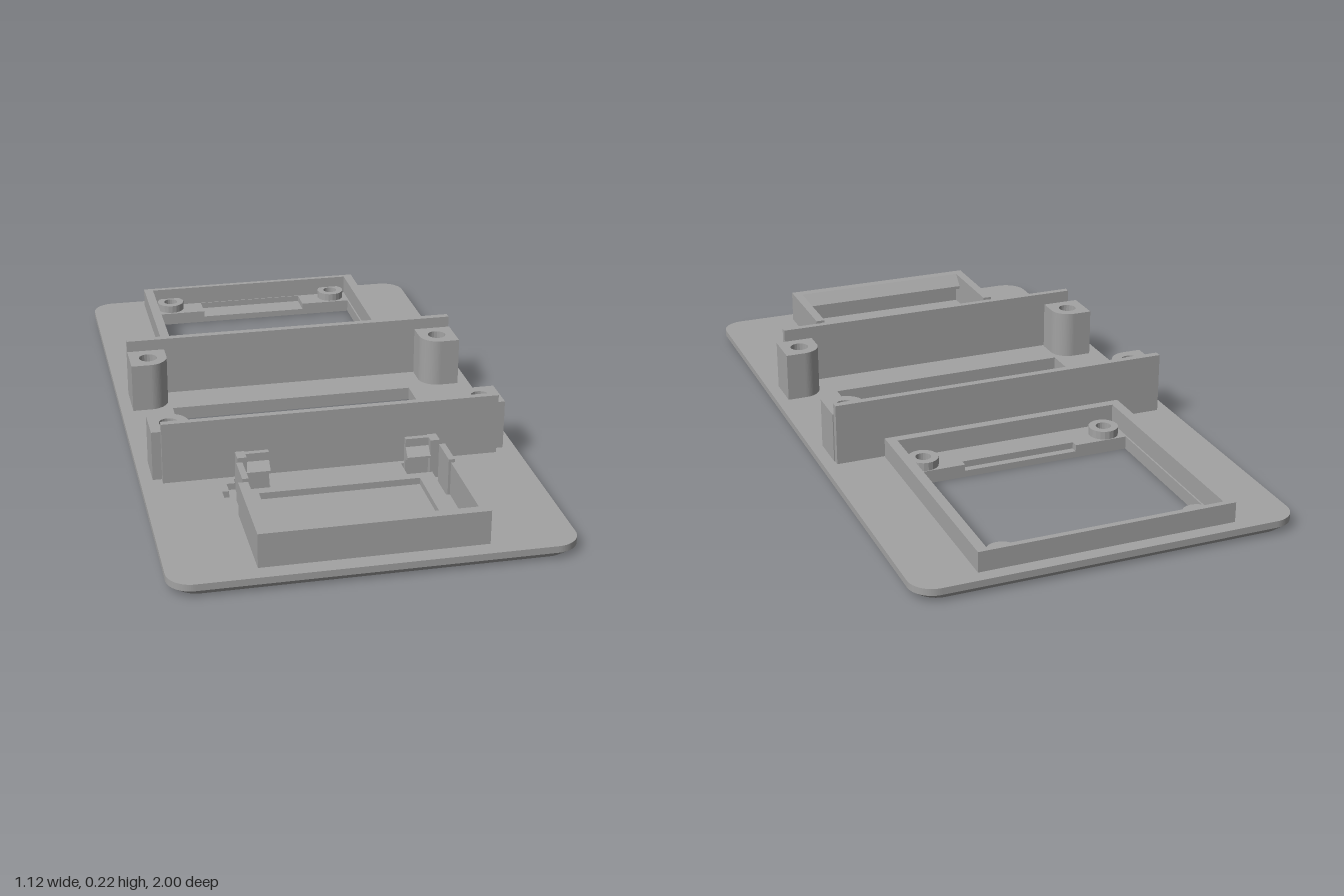
import * as THREE from 'three';

const grey = new THREE.MeshStandardMaterial({ color: 0xa3a3a3 });
grey.name = 'grey plastic';

const PLATE = 0.04; // top of the base plate

function add(parent, name, geometry) {
  const mesh = new THREE.Mesh(geometry, grey);
  mesh.name = name;
  parent.add(mesh);
  return mesh;
}

// Box given by its limits
function block(parent, name, x0, x1, y0, y1, z0, z1) {
  const g = new THREE.BoxGeometry(x1 - x0, y1 - y0, z1 - z0);
  g.translate((x0 + x1) / 2, (y0 + y1) / 2, (z0 + z1) / 2);
  return add(parent, name, g);
}

// Outline drawn in x and z, extruded between two heights
function slab(outline, holes, y0, y1) {
  outline.holes = holes;
  const g = new THREE.ExtrudeGeometry(outline, { depth: y1 - y0, bevelEnabled: false, curveSegments: 10 });
  g.rotateX(Math.PI / 2);
  g.translate(0, y1, 0);
  return g;
}

const poly = (pts) => new THREE.Shape(pts.map(([x, z]) => new THREE.Vector2(x, z)));
const rect = (x0, x1, z0, z1) => poly([[x0, z0], [x1, z0], [x1, z1], [x0, z1]]);
const circle = (x, z, r) => new THREE.Shape().absarc(x, z, r, 0, Math.PI * 2, false);

function roundedRect(w, h, r) {
  const s = new THREE.Shape();
  s.absarc(w - r, h - r, r, 0, Math.PI / 2, false);
  s.absarc(-w + r, h - r, r, Math.PI / 2, Math.PI, false);
  s.absarc(-w + r, -h + r, r, Math.PI, Math.PI * 1.5, false);
  s.absarc(w - r, -h + r, r, Math.PI * 1.5, Math.PI * 2, false);
  return s;
}

function buildPlate(parent) {
  const plate = new THREE.Group();
  plate.name = 'basePlate';
  parent.add(plate);
  const middleWindow = () => rect(-0.4, 0.36, -0.075, 0.29);

  // Lower half, narrowing towards the underside
  const lower = slab(roundedRect(0.56, 1, 0.07),
    [rect(-0.345, 0.34, -0.86, -0.357), middleWindow()], 0, 0.02);
  const p = lower.attributes.position;
  for (let i = 0; i < p.count; i++) {
    const x = p.getX(i), z = p.getZ(i);
    if (p.getY(i) < 0.01 && (Math.abs(x) > 0.45 || Math.abs(z) > 0.9)) {
      p.setX(i, x * 0.54 / 0.56);
      p.setZ(i, z * 0.98);
    }
  }
  lower.computeVertexNormals();
  add(plate, 'plateUnderside', lower);

  // Upper half, with shallow recesses around the windows and clips
  const backWindow = poly([
    [-0.345, -0.86], [-0.18, -0.86], [-0.18, -0.94], [0.175, -0.94], [0.175, -0.86], [0.34, -0.86],
    [0.34, -0.357], [0.175, -0.357], [0.175, -0.335], [-0.18, -0.335], [-0.18, -0.357], [-0.345, -0.357],
  ]);
  const clipRecess = (s) => poly([
    [0.2, 0.44], [0.295, 0.44], [0.295, 0.465], [0.32, 0.465], [0.32, 0.51], [0.34, 0.51],
    [0.34, 0.655], [0.275, 0.655], [0.275, 0.51], [0.2, 0.51],
  ].map(([x, z]) => [s * x, z]));
  const upper = slab(roundedRect(0.56, 1, 0.07),
    [backWindow, middleWindow(), rect(-0.24, 0.23, 0.54, 0.87), clipRecess(1), clipRecess(-1)], 0.02, PLATE);
  add(plate, 'plateTop', upper);
}

function buildBackFrame(parent) {
  const frame = new THREE.Group();
  frame.name = 'backFrame';
  parent.add(frame);
  add(frame, 'backFrameWall', slab(rect(-0.38, 0.375, -0.96, -0.222),
    [rect(-0.35, 0.345, -0.943, -0.25)], PLATE, 0.1));
  // Low screw bosses
  for (const x of [-0.292, 0.287]) {
    for (const z of [-0.912, -0.31]) {
      add(frame, 'screwBoss', slab(circle(x, z, 0.045), [circle(x, z, 0.023)], PLATE, 0.065));
    }
  }
}

function buildCrossWalls(parent) {
  const walls = new THREE.Group();
  walls.name = 'crossWalls';
  parent.add(walls);
  block(walls, 'backCrossWall', -0.523, 0.52, PLATE, 0.225, -0.217, -0.195);
  block(walls, 'frontCrossWall', -0.497, 0.494, PLATE, 0.225, 0.405, 0.425);

  // Posts with one rounded corner facing the middle window
  const r = 0.058;
  for (const sx of [-1, 1]) {
    for (const sz of [-1, 1]) {
      const post = poly([[r, -r], [r, r], [-r, r]]);
      post.absarc(0, 0, r, Math.PI, Math.PI * 1.5, false);
      const pts = post.getPoints(10).map((v) => [v.x * sx, v.y * sz]);
      const g = slab(poly(pts), [circle(0, 0, 0.028)], PLATE, 0.19);
      g.translate(sx * 0.465, 0, sz < 0 ? -0.137 : 0.34);
      add(walls, 'screwPost', g);
    }
  }
}

function buildFrontTray(parent) {
  const tray = new THREE.Group();
  tray.name = 'frontTray';
  parent.add(tray);
  // Three-sided wall, open towards the clips
  add(tray, 'trayWall', slab(poly([
    [-0.318, 0.655], [-0.29, 0.655], [-0.29, 0.92], [0.286, 0.92],
    [0.286, 0.655], [0.314, 0.655], [0.314, 0.95], [-0.318, 0.95],
  ]), [], PLATE, 0.14));

  // Sloping lip inside the front wall
  const lip = new THREE.ExtrudeGeometry(
    poly([[-0.92, 0.14], [-0.885, 0.105], [-0.885, 0.095], [-0.92, 0.085]]),
    { depth: 0.576, bevelEnabled: false });
  lip.rotateY(Math.PI / 2);
  lip.rotateY(Math.PI);
  lip.rotateY(Math.PI);
  lip.translate(-0.29, 0, 0);
  const z = lip.attributes.position;
  if (z.getZ(0) < 0) lip.rotateY(Math.PI).translate(-0.004, 0, 0);
  add(tray, 'trayLip', lip);

  // Snap clips at the open corners
  for (const s of [-1, 1]) {
    const clip = new THREE.Group();
    clip.name = s > 0 ? 'leftClip' : 'rightClip';
    tray.add(clip);
    const part = (name, x0, x1, y0, y1, z0, z1) =>
      block(clip, name, Math.min(s * x0, s * x1), Math.max(s * x0, s * x1), y0, y1, z0, z1);
    part('clipSide', 0.285, 0.303, 0.02, 0.14, 0.535, 0.636);
    part('clipCorner', 0.268, 0.295, 0.02, 0.14, 0.466, 0.508);
    part('clipArm', 0.2, 0.27, 0.02, 0.14, 0.47, 0.486);
    // Wedge-shaped catch on the arm
    const hook = new THREE.ExtrudeGeometry(
      poly([[-0.486, 0.115], [-0.51, 0.092], [-0.51, 0.085], [-0.486, 0.075]]),
      { depth: 0.07, bevelEnabled: false });
    hook.rotateY(Math.PI / 2);
    hook.translate(s > 0 ? 0.2 : -0.27, 0, 0);
    add(clip, 'clipHook', hook);
  }
}

export function createModel() {
  const model = new THREE.Group();
  model.name = 'mountingPanel';
  buildPlate(model);
  buildBackFrame(model);
  buildCrossWalls(model);
  buildFrontTray(model);
  return model;
}
